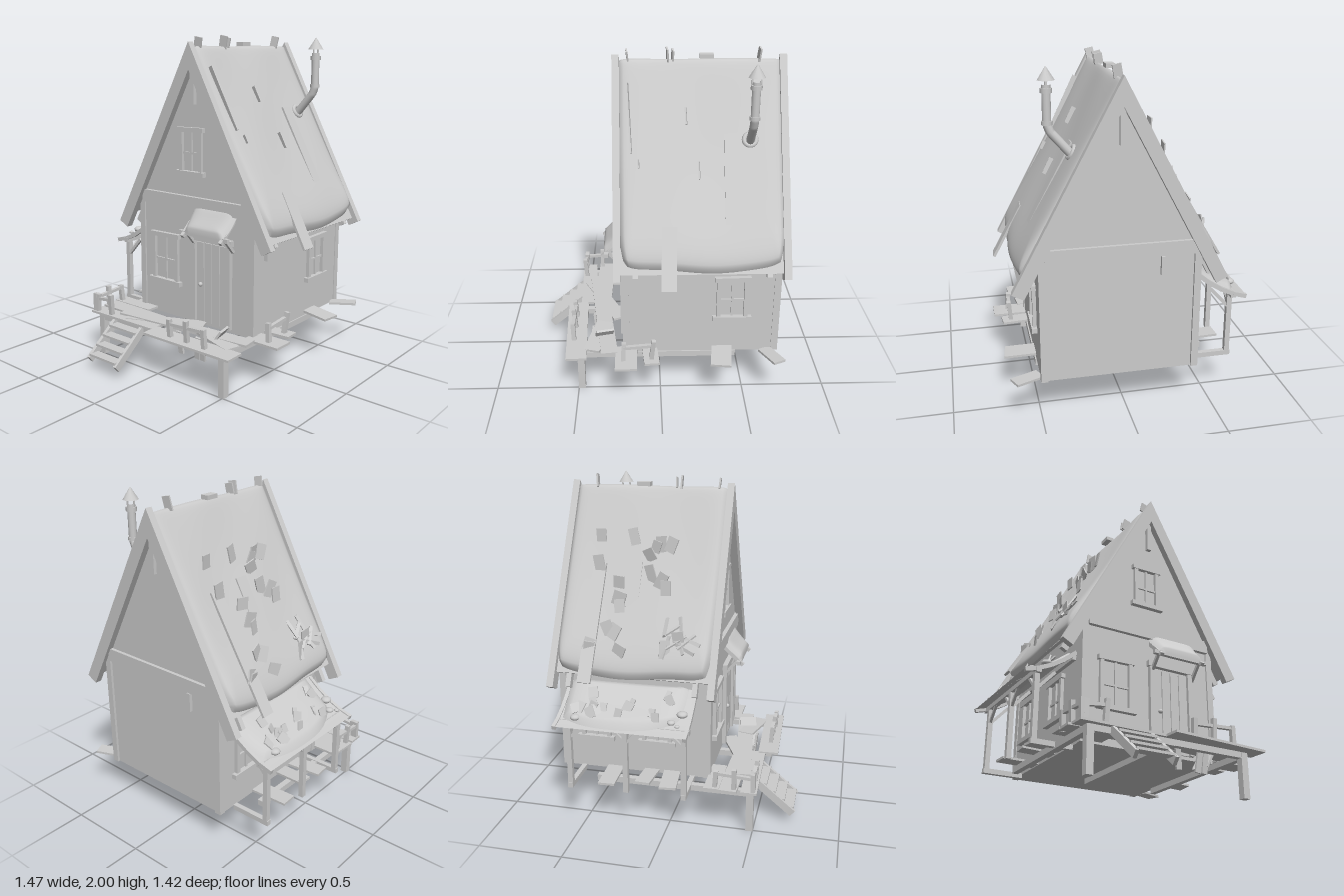
import * as THREE from 'three';

const MID_Z = 0.05, RIDGE_Y = 1.95, PITCH = 1.083, MID_X = 0.235;
const COS = Math.cos(PITCH), SIN = Math.sin(PITCH);

export function createModel() {
  const root = new THREE.Group();
  const mat = new THREE.MeshStandardMaterial({ color: 0xcccccc });
  const thin = new THREE.MeshStandardMaterial({ color: 0xcccccc, side: THREE.DoubleSide });
  let seed = 7;
  const rnd = (a, b) => {
    seed = (seed * 16807) % 2147483647;
    return a + (b - a) * seed / 2147483647;
  };

  const add = (name, geo, parent = root, m = mat) => {
    const mesh = new THREE.Mesh(geo, m);
    mesh.name = name;
    parent.add(mesh);
    return mesh;
  };
  const box = (name, pos, size, rot = [0, 0, 0], parent = root) => {
    const mesh = add(name, new THREE.BoxGeometry(...size), parent);
    mesh.position.set(...pos);
    mesh.rotation.set(...rot);
    return mesh;
  };
  // Timber running between two points
  const beam = (name, a, b, w, h = w) => {
    const p = new THREE.Vector3(...a), q = new THREE.Vector3(...b);
    const mesh = box(name, p.clone().add(q).multiplyScalar(0.5).toArray(), [w, h, p.distanceTo(q)]);
    mesh.quaternion.setFromRotationMatrix(new THREE.Matrix4().lookAt(q, p, Math.abs(q.y - p.y) > 0.99 * p.distanceTo(q)
      ? new THREE.Vector3(1, 0, 0) : new THREE.Vector3(0, 1, 0)));
  };
  // Soft sheet: a grid over u, v in -1..1 shaped by a rule
  const sheet = (name, nu, nv, rule) => {
    const geo = new THREE.PlaneGeometry(2, 2, nu, nv), p = geo.attributes.position;
    for (let i = 0; i < p.count; i++) p.setXYZ(i, ...rule(p.getX(i), p.getY(i)));
    geo.computeVertexNormals();
    add(name, geo, root, thin);
  };
  const puff = (u, v, n) => Math.sqrt(Math.max(0, 1 - Math.max(Math.abs(u), Math.abs(v)) ** n));
  // Outline across the house (offset from the ridge line, height), extruded along x
  const profile = (name, points, x, width) => {
    const shape = new THREE.Shape(points.map(c => new THREE.Vector2(...c)));
    const mesh = add(name, new THREE.ExtrudeGeometry(shape, { depth: width, bevelEnabled: false }));
    mesh.rotation.y = Math.PI / 2;
    mesh.position.set(x, 0, MID_Z);
  };

  // Walls with gables
  profile('walls', [[-0.45, 0.26], [0.45, 0.26], [0.45, 1.0], [0, 1.84], [-0.45, 1.0]], -0.215, 0.905);
  for (const x of [-0.205, 0.685]) {
    for (const z of [-0.385, 0.485]) box('cornerPost', [x, 0.65, z], [0.04, 0.78, 0.04]);
    const out = x < 0 ? -0.225 : 0.695;
    box('gableBeam', [out, 1.01, MID_Z], [0.03, 0.08, 0.84]);
    box('kingPost', [out, 1.7, MID_Z], [0.03, 0.2, 0.03]);
  }
  box('loosePeg', [0.7, 0.91, -0.185], [0.02, 0.11, 0.025]);
  box('eaveBracket', [-0.11, 0.78, 0.51], [0.025, 0.13, 0.03]);
  box('eaveBracket', [-0.07, 0.82, 0.51], [0.02, 0.1, 0.03]);

  // Mitred roof boards and bargeboards
  const chevron = (name, x, width, outer, inner, front, back) => {
    const at = (s, d, o) => [s * (d * COS + o * SIN), RIDGE_Y - d * SIN + o * COS];
    profile(name, [at(-1, front, outer), at(-1, front, inner), [0, RIDGE_Y + inner / COS],
      at(1, back, inner), at(1, back, outer), [0, RIDGE_Y + outer / COS]], x, width);
  };
  chevron('roofBoards', -0.23, 0.93, -0.026, -0.044, 1.24, 1.18);
  for (const x of [-0.268, 0.69]) chevron('bargeboard', x, 0.042, 0.004, -0.07, 1.275, 1.275);

  // Thatch draped over the ridge, thicker towards the eaves
  sheet('thatch', 60, 110, (u, v) => {
    const wave = 0.012 * Math.sin(4 * u + 1);
    const d = v * ((v > 0 ? 1.23 : 1.19) + wave) * (1 - 0.03 * u ** 8);
    const r = Math.hypot(d, 0.03), side = d / r;
    const lift = (0.032 + 0.035 * Math.abs(v) ** 3) * puff(u, v, 14) - 0.03
      + 0.005 * Math.sin(5 * u + 2 * v) * Math.cos(6 * v) * puff(u, v, 4);
    const pinch = 1 - 0.06 * Math.max(0, (Math.abs(v) - 0.85) / 0.15) ** 2;
    return [MID_X + 0.466 * u * pinch, RIDGE_Y - SIN * (r - 0.01) + lift * COS, MID_Z + d * COS + lift * SIN * side];
  });

  // Frames on each slope: local +z runs down the slope, +y points outward
  const slopes = [1, -1].map(s => {
    const g = new THREE.Group();
    g.name = s > 0 ? 'frontSlope' : 'backSlope';
    g.position.set(MID_X, RIDGE_Y, MID_Z);
    g.rotation.set(PITCH, s > 0 ? 0 : Math.PI, 0, 'YXZ');
    root.add(g);
    for (const x of [-0.38, 0.38]) box('rafterEnd', [x, -0.06, 1.17], [0.03, 0.04, 0.18], [0, 0, 0], g);
    return g;
  });

  // Repair boards and torn scraps on the roof
  const onRoof = (name, side, x, d, size, rot, lift) =>
    box(name, [(x - MID_X) * side, lift, d], size, rot, slopes[side > 0 ? 0 : 1]);
  beam('patchBoard', [0.05, 1.1, 0.525], [0.042, 0.785, 0.695], 0.085, 0.015);
  beam('patchBoard', [0.49, 1.5, -0.2], [0.49, 0.875, -0.57], 0.08, 0.015);
  onRoof('patchBoard', 1, 0.4, 0.72, [0.075, 0.015, 0.54], [-0.01, 0, 0], 0.012);
  onRoof('patchBoard', -1, 0.27, 0.63, [0.08, 0.015, 0.28], [0, 0, 0], 0.01);
  for (const [x, d, l] of [[0.15, 0.35, 0.1], [0.22, 0.66, 0.1], [-0.17, 0.36, 0.4], [-0.12, 0.62, 0.05]])
    onRoof('splinter', 1, x, d, [0.008, 0.03, l], [0.03, 0.05, 0.2], 0.015);
  for (let i = 0; i < 20; i++) {
    const d = rnd(0.35, 1.1);
    onRoof('scrap', -1, rnd(-0.12, 0.55), d, [rnd(0.05, 0.08), 0.008, rnd(0.07, 0.11)],
      [rnd(0.3, 0.6), rnd(-0.6, 0.6), rnd(-0.3, 0.3)], 0.035);
  }
  for (let i = 0; i < 9; i++)
    onRoof('strawTuft', -1, rnd(-0.13, 0.06), rnd(0.85, 1.0), [0.02, 0.01, rnd(0.08, 0.14)], [rnd(-0.4, 0.2), rnd(-1.5, 1.5), 0.5], 0.035);
  for (const [x, h, t] of [[-0.18, 0.06, 0.1], [0.05, 0.08, 0.05], [0.08, 0.06, -0.05], [0.575, 0.08, -0.1]])
    box('ridgeSplinter', [x, 1.955, MID_Z], [0.01, h, 0.05], [0.2, 0.1, t]);
  box('ridgeBoard', [0.275, 1.945, MID_Z - 0.02], [0.08, 0.025, 0.05]);

  // Stove pipe with elbow, collar and cone cap
  const pipePath = new THREE.CurvePath();
  const pts = [[0.51, 1.48, 0.255], [0.51, 1.64, 0.395], [0.51, 1.68, 0.412], [0.51, 1.89, 0.412]].map(p => new THREE.Vector3(...p));
  for (let i = 0; i < 3; i++) pipePath.add(new THREE.LineCurve3(pts[i], pts[i + 1]));
  add('stovePipe', new THREE.TubeGeometry(pipePath, 30, 0.024, 12));
  const collar = add('pipeCollar', new THREE.TorusGeometry(0.034, 0.014, 8, 18));
  collar.position.set(0.51, 1.525, 0.285);
  collar.rotation.x = -0.49;
  const cyl = (name, r1, r2, h, y) => add(name, new THREE.CylinderGeometry(r1, r2, h, 12)).position.set(0.51, y, 0.412);
  cyl('pipeBand', 0.032, 0.032, 0.025, 1.86);
  cyl('pipeBand', 0.03, 0.03, 0.02, 1.69);
  cyl('pipeCap', 0.002, 0.046, 0.07, 1.948);
  for (const s of [-1, 1]) box('capStay', [0.51 + s * 0.024, 1.89, 0.412], [0.008, 0.06, 0.008]);

  // Windows; local +z faces out of the wall
  const opening = (name, pos, ry) => {
    const g = new THREE.Group();
    g.name = name;
    g.position.set(...pos);
    g.rotation.y = ry;
    root.add(g);
    return g;
  };
  const windowAt = (pos, ry, w, h) => {
    const g = opening('window', pos, ry);
    for (const s of [-1, 1]) box('windowJamb', [s * w / 2, 0, 0.008], [0.024, h, 0.026], [0, 0, 0], g);
    box('lintel', [0, h / 2, 0.01], [w + 0.05, 0.028, 0.032], [0, 0, 0.02], g);
    box('sill', [0, -h / 2, 0.012], [w + 0.07, 0.028, 0.038], [0, 0, 0], g);
    box('mullion', [0, 0, 0.004], [0.012, h, 0.014], [0, 0, 0], g);
    box('transom', [0, -0.01, 0.004], [w, 0.012, 0.014], [0, 0, 0], g);
  };
  windowAt([0.42, 0.625, 0.5], 0, 0.16, 0.26);
  windowAt([0.48, 0.59, -0.4], Math.PI, 0.16, 0.25);
  windowAt([0.1, 0.59, -0.4], Math.PI, 0.16, 0.25);
  windowAt([-0.215, 0.63, -0.185], -Math.PI / 2, 0.19, 0.3);
  windowAt([-0.215, 1.32, 0.03], -Math.PI / 2, 0.15, 0.26);

  // Door and its small thatched awning
  const door = opening('door', [-0.215, 0.28, 0.19], -Math.PI / 2);
  for (let i = 0; i < 4; i++) box('doorPlank', [-0.09 + i * 0.06, 0.25, 0.002], [0.055, 0.5, 0.014], [0, 0, 0], door);
  for (const s of [-1, 1]) box('doorJamb', [s * 0.135, 0.26, 0.01], [0.03, 0.52, 0.03], [0, 0, 0], door);
  box('doorLintel', [0, 0.53, 0.012], [0.32, 0.035, 0.036], [0, 0, 0], door);
  add('doorKnob', new THREE.SphereGeometry(0.014, 10, 8), door).position.set(-0.08, 0.24, 0.02);
  for (const z of [0.06, 0.35]) {
    beam('awningRafter', [-0.21, 0.95, z], [-0.34, 0.83, z], 0.022);
    beam('awningBrace', [-0.22, 0.76, z], [-0.3, 0.85, z], 0.018);
  }
  beam('awningBeam', [-0.315, 0.85, 0.02], [-0.315, 0.85, 0.39], 0.024);
  sheet('awningThatch', 16, 12, (u, v) => {
    const q = (v + 1) / 2, l = 0.035 * puff(u, v, 5);
    return [-0.205 - 0.125 * q - l * 0.4, 0.99 - 0.19 * q + 0.05 * q * q + l, 0.21 + 0.165 * u * (1 - 0.12 * q * q)];
  });

  // Back porch: posts, braces, sagging roof and thatch
  const porchY = z => {
    const t = (-z - 0.4) / 0.31;
    return 0.82 - 0.28 * t + 0.11 * t * t;
  };
  sheet('porchRoof', 2, 8, (u, v) => {
    const z = -0.555 - 0.155 * v;
    return [0.25 + 0.39 * u, porchY(z), z];
  });
  for (const x of [-0.135, 0.63]) for (let i = 0; i < 4; i++) {
    const z = -0.4 - i * 0.0775, z2 = z - 0.0775;
    beam('porchRafter', [x, porchY(z) - 0.008, z], [x, porchY(z2) - 0.008, z2], 0.022, 0.025);
  }
  beam('porchBeam', [-0.15, 0.655, -0.63], [0.64, 0.655, -0.63], 0.03);
  beam('wallPlate', [-0.14, 0.78, -0.41], [0.63, 0.78, -0.41], 0.03);
  for (const x of [-0.115, 0.23, 0.57]) {
    beam('porchPost', [x, 0.24, -0.63], [x, 0.65, -0.63], 0.03);
    beam('porchBrace', [x, 0.55, -0.63], [x, 0.67, -0.52], 0.018);
    for (const s of [-1, 1]) if (Math.abs(x + s * 0.09 - 0.24) < 0.4)
      beam('porchBrace', [x, 0.55, -0.63], [x + s * 0.09, 0.645, -0.63], 0.016);
  }
  const porchPoint = (u, q) => {
    const z = -0.4 - 0.29 * q * (1 - 0.28 * Math.abs(u - 0.1) ** 2.5);
    return [0.265 + 0.36 * u * (1 - 0.06 * q * q), porchY(z), z];
  };
  sheet('porchThatch', 30, 16, (u, v) => {
    const [x, y, z] = porchPoint(u, (v + 1) / 2);
    return [x, y + 0.045 * puff(u, v, 5), z];
  });
  for (let i = 0; i < 16; i++) {
    const [x, y, z] = porchPoint(rnd(-0.9, 0.9), rnd(0.3, 0.95));
    box('scrap', [x, y + 0.055, z], [rnd(0.03, 0.06), 0.008, rnd(0.05, 0.07)], [rnd(-1.4, -0.8), rnd(-0.5, 0.5), rnd(-0.3, 0.3)]);
  }
  for (const [x, z, r] of [[-0.09, -0.56, 0.032], [-0.04, -0.62, 0.024], [-0.08, -0.645, 0.015], [0.52, -0.645, 0.03]]) {
    const cap = add('mushroomCap', new THREE.SphereGeometry(r, 14, 8));
    cap.scale.y = 0.6;
    cap.position.set(x, porchY(z) + 0.025, z);
  }

  // Deck frame and legs
  for (const z of [-0.49, 0, 0.49]) beam('deckBeam', [-0.5, 0.243, z], [0.45, 0.243, z], 0.036);
  for (const z of [-0.49, 0.49]) beam('deckLeg', [-0.48, 0, z], [-0.48, 0.26, z], 0.042);
  beam('deckBeam', [-0.48, 0.245, -0.5], [-0.48, 0.245, 0.5], 0.035);
  for (const x of [-0.115, 0.57]) beam('porchJoist', [x, 0.25, -0.4], [x, 0.25, -0.65], 0.03);

  // Crooked deck planks: centre x, z, width, length, turn, tilt
  const planks = [
    [-0.47, -0.3, 0.095, 0.52, 0.03, 0], [-0.36, -0.34, 0.11, 0.46, -0.03, 0], [-0.36, 0.09, 0.1, 0.92, 0.12, 0.01],
    [-0.515, 0.28, 0.125, 0.62, 0.04, 0.015], [-0.38, 0.36, 0.1, 0.3, -0.25, 0.05], [-0.26, -0.42, 0.09, 0.3, 0, 0],
    [-0.205, 0.59, 0.13, 0.23, 0, 0], [-0.06, 0.57, 0.09, 0.18, 0.08, 0], [0.36, 0.58, 0.12, 0.2, -0.12, 0.08],
    [0.66, 0.58, 0.08, 0.17, 0.45, -0.05], [0.0, -0.5, 0.1, 0.22, 0.1, 0], [0.14, -0.49, 0.09, 0.21, -0.06, 0.05],
    [0.36, -0.51, 0.1, 0.24, 0.04, 0], [-0.35, -0.07, 0.09, 0.5, 0.42, 0]];
  planks.forEach(([x, z, w, l, turn, tilt], i) =>
    box('deckPlank', [x, 0.272 + (i % 3) * 0.004, z], [w, 0.014, l], [tilt, turn, 0]));
  box('brokenPlank', [-0.35, 0.25, 0.33], [0.11, 0.19, 0.014], [0.6, 0.2, -0.15]);
  for (const [z, t] of [[0.24, 0.1], [0.1, -0.1], [0.28, 0.05]])
    box('brokenPlank', [-0.41, 0.2, z], [0.014, 0.14, 0.035], [t, 0, 0.1]);

  // Broken railings
  const rail = (a, b, n) => {
    for (let i = 0; i < n; i++) {
      const t = i / (n - 1), h = 0.12 + 0.02 * (i % 2);
      box('railPost', [a[0] + (b[0] - a[0]) * t, 0.27 + h / 2, a[1] + (b[1] - a[1]) * t], [0.026, h, 0.026], [rnd(-0.1, 0.1), 0, rnd(-0.1, 0.1)]);
    }
    beam('handrail', [a[0], 0.36, a[1]], [b[0], 0.375, b[1]], 0.022, 0.018);
  };
  rail([-0.53, 0.13], [-0.53, 0.39], 3);
  rail([-0.5, -0.54], [-0.28, -0.54], 3);
  rail([-0.5, -0.52], [-0.5, -0.4], 2);
  rail([-0.22, 0.61], [-0.05, 0.61], 2);

  // Stairs
  for (const z of [-0.36, -0.13]) beam('stairStringer', [-0.49, 0.255, z], [-0.72, 0.065, z], 0.022, 0.045);
  for (let i = 0; i < 4; i++) box('stairTread', [-0.53 - i * 0.055, 0.235 - i * 0.046, -0.245], [0.062, 0.014, 0.225]);
  return root;
}
